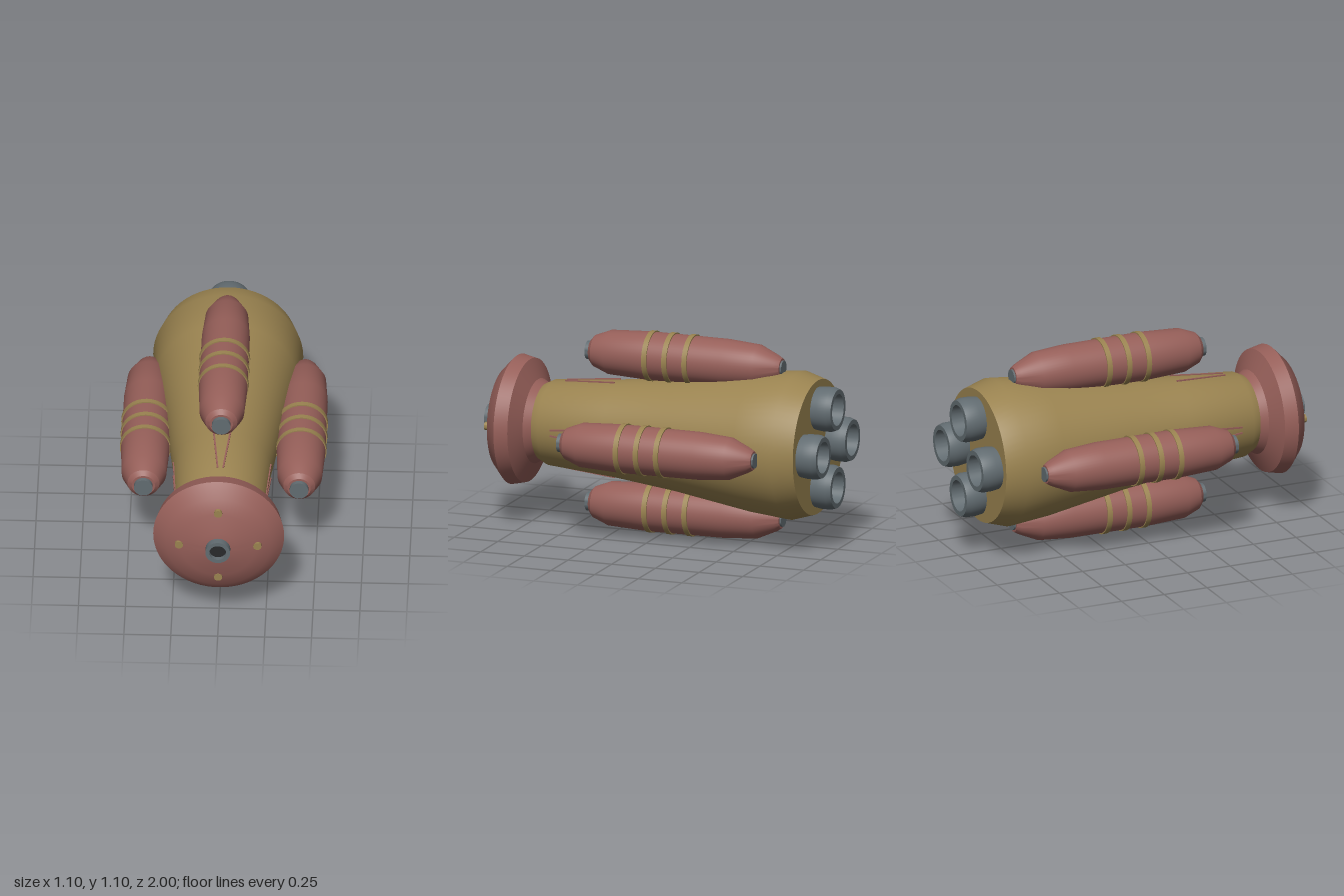
import * as THREE from 'three';
import { toCreasedNormals } from 'three/addons/utils/BufferGeometryUtils.js';

const CENTER_Y = 0.555;
const POD_OFFSET = 0.415;

function material(name, color) {
  const m = new THREE.MeshStandardMaterial({ color });
  m.name = name;
  return m;
}

// Solid of revolution about z; profile is [radius, z] with z rising along the outside
function turned(name, profile, mat, segments = 48) {
  const points = profile.map(([r, z]) => new THREE.Vector2(r, z));
  const geometry = new THREE.LatheGeometry(points, segments).rotateX(Math.PI / 2);
  const mesh = new THREE.Mesh(toCreasedNormals(geometry, 0.45), mat);
  mesh.name = name;
  return mesh;
}

// Closed disc or plug along z
function plug(name, radius, z0, z1, mat) {
  return turned(name, [[0, z0], [radius, z0], [radius, z1], [0, z1]], mat, 32);
}

// Thin bar between two points
function bar(name, a, b, width, height, mat) {
  const mesh = new THREE.Mesh(new THREE.BoxGeometry(width, height, a.distanceTo(b)), mat);
  mesh.name = name;
  mesh.position.copy(a).add(b).multiplyScalar(0.5);
  mesh.lookAt(b);
  return mesh;
}

export function createModel() {
  const red = material('dusty red', 0x965f59);
  const gold = material('old gold', 0x9a8350);
  const steel = material('steel grey', 0x626c71);
  const dark = material('dark bore', 0x282a2b);

  const model = new THREE.Group();
  model.name = 'rocketShip';
  const ship = new THREE.Group();
  ship.name = 'ship';
  ship.position.y = CENTER_Y;
  model.add(ship);

  // Tapered hull
  ship.add(turned('hull', [
    [0, -0.885], [0.365, -0.885], [0.4, -0.77], [0.377, -0.54], [0.305, -0.1],
    [0.262, 0.25], [0.23, 0.63], [0.205, 0.68], [0, 0.68],
  ], gold, 64));

  // Domed nose
  ship.add(turned('nose', [
    [0, 0.67], [0.203, 0.67], [0.228, 0.716], [0.333, 0.762], [0.349, 0.835],
    [0.28, 0.9], [0.2, 0.928], [0.1, 0.957], [0, 0.968],
  ], red, 64));

  // Hollow nose port
  ship.add(turned('nosePort', [
    [0.066, 0.94], [0.066, 1], [0.045, 1], [0.045, 0.97],
  ], steel));
  ship.add(plug('nosePortBore', 0.046, 0.965, 0.976, dark));

  // Everything else repeats four times around the hull axis
  for (let i = 0; i < 4; i++) {
    const quarter = new THREE.Group();
    quarter.name = 'quarter' + (i + 1);
    quarter.rotation.z = i * Math.PI / 2;
    ship.add(quarter);

    // Nose stud
    const stud = plug('noseStud', 0.022, 0.91, 0.936, gold);
    stud.position.y = 0.209;
    quarter.add(stud);

    // Side pod with end caps and bands
    const pod = new THREE.Group();
    pod.name = 'pod';
    pod.position.y = POD_OFFSET;
    quarter.add(pod);
    pod.add(turned('podBody', [
      [0, -0.68], [0.05, -0.68], [0.066, -0.655], [0.114, -0.548], [0.128, -0.37],
      [0.13, 0.08], [0.119, 0.3], [0.085, 0.387], [0.062, 0.408], [0, 0.408],
    ], red));
    pod.add(plug('podFrontCap', 0.05, 0.39, 0.432, steel));
    pod.add(plug('podRearCap', 0.04, -0.69, -0.66, steel));
    for (const z of [0.06, -0.055, -0.17]) {
      pod.add(plug('podBand', 0.136, z - 0.014, z + 0.014, gold));
    }

    // Pair of strips spreading backwards beneath the pod
    for (const side of [-1, 1]) {
      quarter.add(bar('hullStrip',
        new THREE.Vector3(side * 0.045, 0.259, 0.26),
        new THREE.Vector3(side * 0.015, 0.237, 0.555), 0.009, 0.009, red));
    }

    // Rear thruster, hollow at the back
    const thruster = new THREE.Group();
    thruster.name = 'thruster';
    thruster.position.y = 0.213;
    quarter.add(thruster);
    thruster.add(turned('thrusterBell', [
      [0.078, -0.89], [0.085, -1], [0.11, -1], [0.12, -0.972], [0.12, -0.92], [0.114, -0.88],
    ], steel));
    thruster.add(plug('thrusterBore', 0.08, -0.9, -0.88, dark));
  }
  return model;
}
